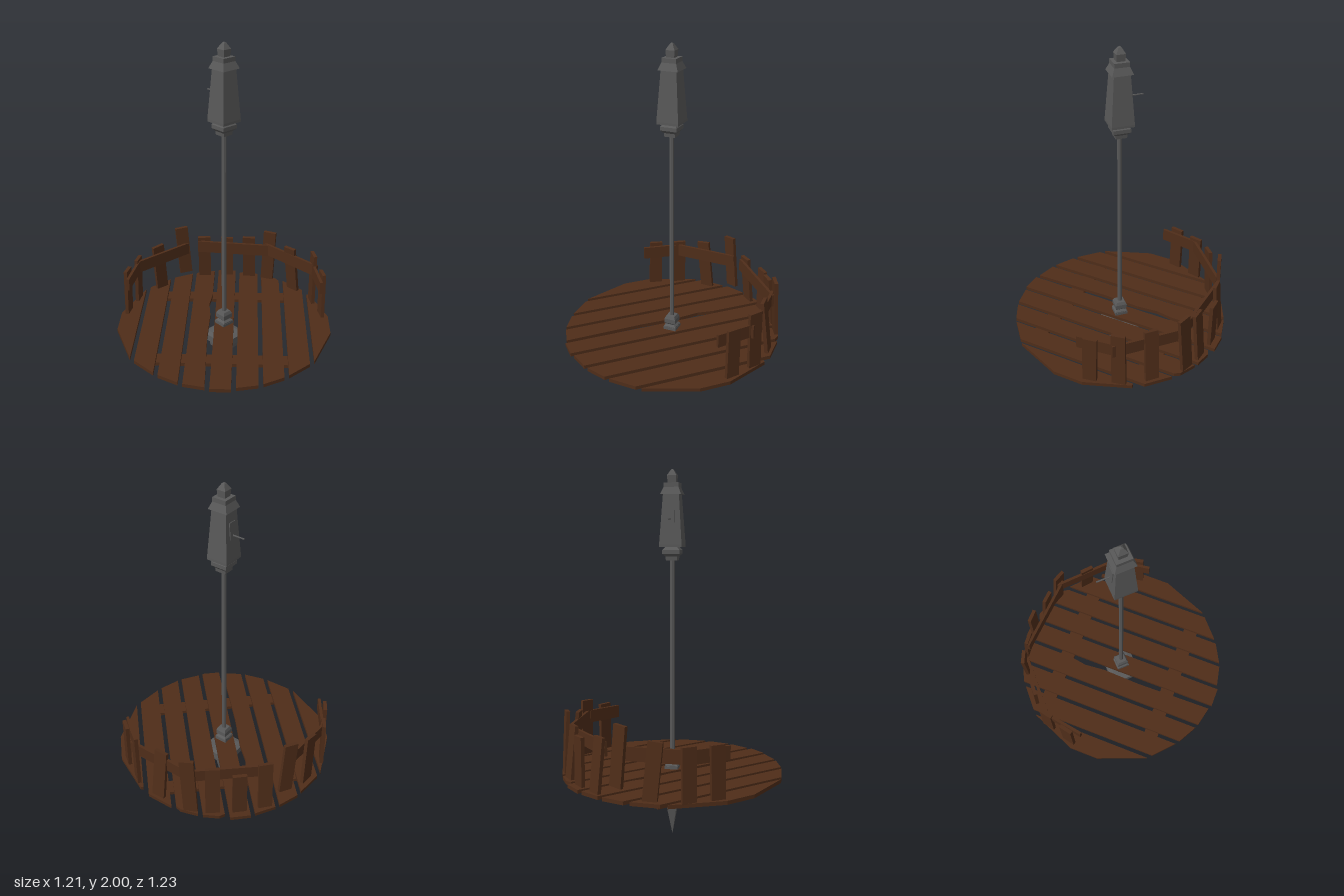
import * as THREE from 'three';

const wood = new THREE.MeshStandardMaterial({ color: 0x4f2d19, flatShading: true });
const iron = new THREE.MeshStandardMaterial({ color: 0x585858, flatShading: true });
const V = (x, y, z) => new THREE.Vector3(x, y, z);

function add(parent, name, geometry, material) {
  const mesh = new THREE.Mesh(geometry, material);
  mesh.name = name;
  parent.add(mesh);
  return mesh;
}

// Four-sided turned shape with its corners on the x and z axes
function squareTurned(parent, name, profile) {
  const points = profile.map(([r, y]) => new THREE.Vector2(r, y));
  return add(parent, name, new THREE.LatheGeometry(points, 4), iron);
}

// Flat board cut to an outline of [x, z] points
function deckBoard(parent, name, outline, y, thickness) {
  const shape = new THREE.Shape(outline.map(([x, z]) => new THREE.Vector2(x, -z)));
  const geometry = new THREE.ExtrudeGeometry(shape, { depth: thickness, bevelEnabled: false });
  geometry.rotateX(-Math.PI / 2).translate(0, y, 0);
  return add(parent, name, geometry, wood);
}

// Board running from a to b, its width following the given direction
function board(parent, name, a, b, across, width, thickness) {
  const along = b.clone().sub(a);
  const length = along.length();
  along.normalize();
  const depth = across.clone().cross(along).normalize();
  const side = along.clone().cross(depth);
  const mesh = add(parent, name, new THREE.BoxGeometry(width, length, thickness), wood);
  mesh.quaternion.setFromRotationMatrix(new THREE.Matrix4().makeBasis(side, along, depth));
  mesh.position.copy(a).add(b).multiplyScalar(0.5);
  return mesh;
}

function createDeck() {
  const deck = new THREE.Group();
  deck.name = 'deck';
  // Planks with ends trimmed to a rough circle
  const planks = [
    [[-0.055, -0.615], [0.055, -0.615], [0.055, 0.612], [-0.055, 0.612]],
    [[0.08, -0.585], [0.11, -0.597], [0.195, -0.575], [0.195, 0.575], [0.08, 0.6]],
    [[-0.195, -0.575], [-0.08, -0.605], [-0.08, -0.3], [-0.095, -0.2], [-0.083, -0.08],
      [-0.09, 0.15], [-0.08, 0.6], [-0.195, 0.575]],
    [[0.22, -0.565], [0.31, -0.52], [0.33, -0.49], [0.33, 0.505], [0.22, 0.565]],
    [[-0.33, -0.51], [-0.22, -0.565], [-0.22, 0.565], [-0.33, 0.505]],
    [[0.355, -0.49], [0.47, -0.385], [0.47, 0.383], [0.355, 0.487]],
    [[-0.47, -0.385], [-0.355, -0.487], [-0.355, 0.487], [-0.47, 0.383]],
    [[0.495, -0.33], [0.51, -0.33], [0.605, -0.085], [0.605, 0.085], [0.495, 0.36]],
    [[-0.605, -0.085], [-0.495, -0.36], [-0.495, 0.36], [-0.605, 0.085]],
  ];
  planks.forEach((outline) => deckBoard(deck, 'deckPlank', outline, 0.364, 0.02));
  // Cross beams below the planks
  for (const z of [-0.33, 0.33]) {
    deckBoard(deck, 'deckBeam',
      [[-0.43, z - 0.042], [0.36, z - 0.042], [0.36, z + 0.042], [-0.43, z + 0.042]], 0.345, 0.019);
  }
  return deck;
}

function createFence() {
  const fence = new THREE.Group();
  fence.name = 'fence';
  // Slats: bottom [x, y, z], top [x, y, z], direction of width [x, z]
  const slats = [
    [[-0.565, 0.38, -0.11], [-0.562, 0.66, -0.115], [0.2, -1]],
    [[-0.525, 0.38, -0.255], [-0.52, 0.66, -0.255], [0.2, -1]],
    [[-0.4, 0.38, -0.4], [-0.415, 0.68, -0.375], [0.75, -0.65]],
    [[-0.257, 0.435, -0.505], [-0.28, 0.75, -0.49], [0.95, -0.3]],
    [[-0.14, 0.38, -0.56], [-0.142, 0.668, -0.53], [1, -0.08]],
    [[0, 0.38, -0.572], [0, 0.645, -0.572], [1, 0]],
    [[0.142, 0.38, -0.56], [0.137, 0.67, -0.53], [1, 0.08]],
    [[0.255, 0.38, -0.53], [0.268, 0.72, -0.505], [0.95, 0.3]],
    [[0.415, 0.38, -0.4], [0.385, 0.68, -0.375], [0.75, 0.65]],
    [[0.52, 0.38, -0.26], [0.52, 0.705, -0.255], [0.2, 1]],
    [[0.565, 0.38, -0.11], [0.562, 0.66, -0.115], [0.2, 1]],
  ];
  for (const [a, b, w] of slats) {
    board(fence, 'fenceSlat', V(...a), V(...b), V(w[0], 0, w[1]), 0.076, 0.02);
  }
  // Rails nailed inside the slats: [x, z, y] at each end
  const rails = [
    [[-0.55, -0.03, 0.605], [-0.515, -0.255, 0.605]],
    [[-0.525, -0.24, 0.605], [-0.24, -0.5, 0.605]],
    [[-0.18, -0.517, 0.61], [0.28, -0.49, 0.6]],
    [[0.24, -0.51, 0.605], [0.54, -0.23, 0.605]],
    [[0.52, -0.24, 0.605], [0.55, -0.03, 0.605]],
  ];
  for (const [a, b] of rails) {
    board(fence, 'fenceRail', V(a[0], a[2], a[1]), V(b[0], b[2], b[1]), V(0, 1, 0), 0.072, 0.016);
  }
  return fence;
}

function createPost() {
  const post = new THREE.Group();
  post.name = 'post';
  // Pointed foot below the deck and collar above it
  squareTurned(post, 'foot', [[0, 0], [0.042, 0.18], [0.05, 0.23], [0.08, 0.23], [0.085, 0.265],
    [0.125, 0.282], [0.125, 0.32], [0.09, 0.328], [0.052, 0.33], [0.052, 0.4], [0, 0.41]]);
  squareTurned(post, 'collar', [[0, 0.385], [0.05, 0.385], [0.05, 0.405], [0.033, 0.415],
    [0.046, 0.425], [0.046, 0.45], [0.035, 0.467], [0, 0.47]]);
  const pole = add(post, 'pole', new THREE.CylinderGeometry(0.013, 0.013, 1.08, 8), iron);
  pole.position.y = 1.0;
  return post;
}

function createLantern() {
  const lantern = new THREE.Group();
  lantern.name = 'lantern';
  squareTurned(lantern, 'lanternNeck', [[0, 1.525], [0.042, 1.525], [0.045, 1.545], [0.065, 1.56],
    [0.065, 1.58], [0.045, 1.595], [0, 1.6]]);
  squareTurned(lantern, 'lanternBody', [[0, 1.595], [0.085, 1.595], [0.085, 1.608], [0.06, 1.87], [0, 1.87]]);
  squareTurned(lantern, 'lanternCap', [[0, 1.87], [0.078, 1.868], [0.056, 1.905], [0.056, 1.928], [0, 1.93]]);
  squareTurned(lantern, 'finial', [[0, 1.925], [0.03, 1.925], [0.035, 1.965], [0.012, 1.993], [0, 2]]);
  // Small door and its handle on the back corner face
  const door = new THREE.Group();
  door.name = 'lanternDoor';
  door.rotation.y = -Math.PI * 0.75;
  const panel = add(door, 'doorPanel', new THREE.BoxGeometry(0.045, 0.09, 0.008), iron);
  panel.position.set(0, 1.765, 0.05);
  panel.rotation.x = -0.07;
  const handle = add(door, 'doorHandle', new THREE.CylinderGeometry(0.004, 0.004, 0.072, 6), iron);
  handle.rotation.x = Math.PI / 2;
  handle.position.set(0, 1.74, 0.086);
  lantern.add(door);
  return lantern;
}

export function createModel() {
  const model = new THREE.Group();
  model.name = 'lanternPlatform';
  model.add(createDeck(), createFence(), createPost(), createLantern());
  return model;
}
